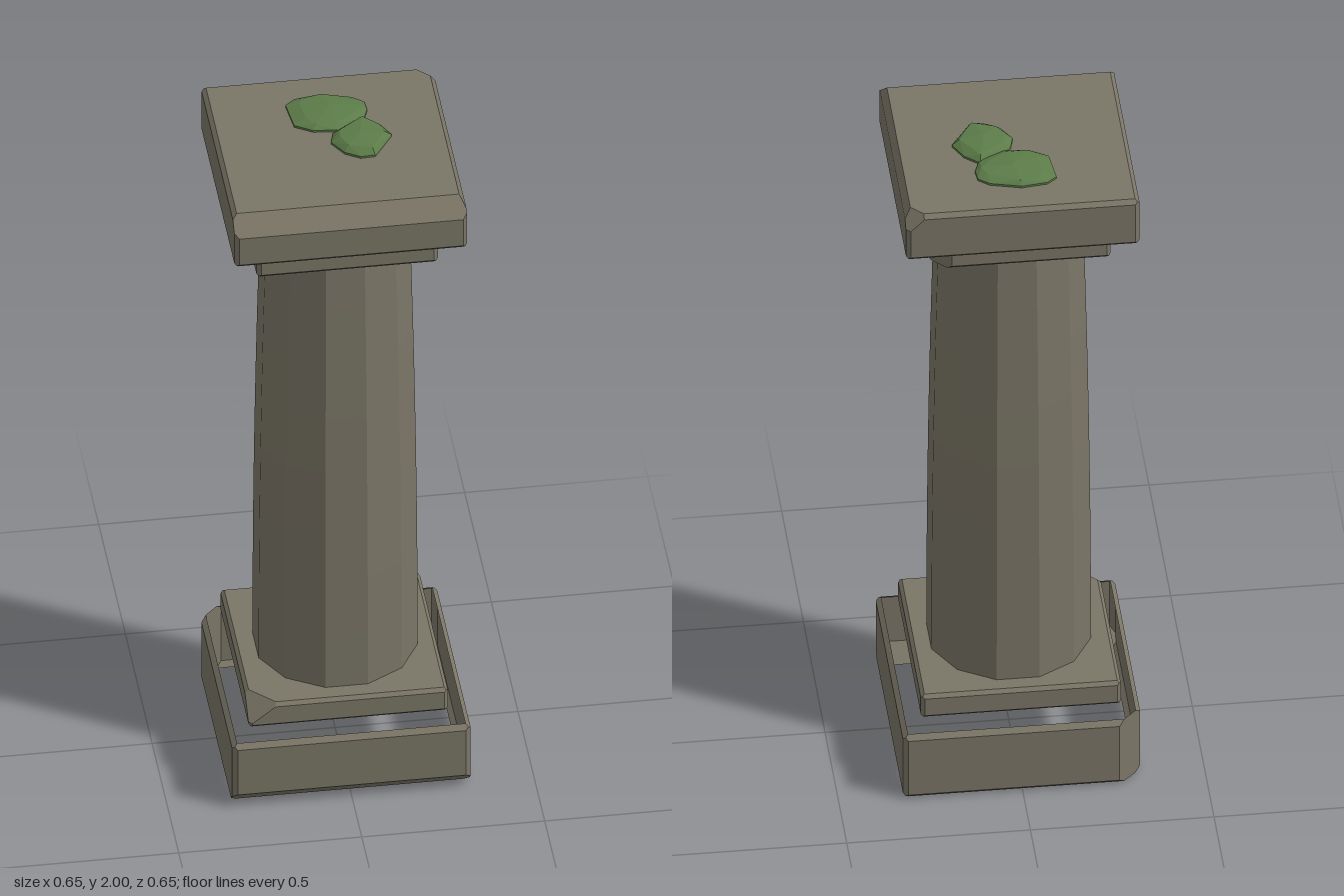
import * as THREE from 'three';
import { ConvexGeometry } from 'three/addons/geometries/ConvexGeometry.js';

const stone = new THREE.MeshStandardMaterial({ color: 0x7a7566, side: THREE.DoubleSide });
stone.name = 'weatheredStone';
const moss = new THREE.MeshStandardMaterial({ color: 0x5c7c49 });
moss.name = 'mossGreen';

// Corner points of the solid bounded by planes { n, d } with n.p <= d
function solidPoints(planes) {
  const pts = [];
  const bc = new THREE.Vector3(), ca = new THREE.Vector3(), ab = new THREE.Vector3();
  for (let i = 0; i < planes.length; i++)
    for (let j = i + 1; j < planes.length; j++)
      for (let k = j + 1; k < planes.length; k++) {
        const [a, b, c] = [planes[i], planes[j], planes[k]];
        bc.crossVectors(b.n, c.n);
        ca.crossVectors(c.n, a.n);
        ab.crossVectors(a.n, b.n);
        const det = a.n.dot(bc);
        if (Math.abs(det) < 1e-4) continue;
        const p = new THREE.Vector3().addScaledVector(bc, a.d).addScaledVector(ca, b.d)
          .addScaledVector(ab, c.d).divideScalar(det);
        if (planes.every((q) => q.n.dot(p) <= q.d + 1e-6) && pts.every((q) => q.distanceTo(p) > 1e-4)) pts.push(p);
      }
  return pts;
}

// Drops the level faces at height y, leaving that end of a block open
function openAt(geometry, y) {
  const src = geometry.attributes.position.array;
  const kept = [];
  for (let i = 0; i < src.length; i += 9) {
    const level = [1, 4, 7].every((o) => Math.abs(src[i + o] - y) < 1e-4);
    if (!level) kept.push(...src.slice(i, i + 9));
  }
  const out = new THREE.BufferGeometry();
  out.setAttribute('position', new THREE.Float32BufferAttribute(kept, 3));
  out.computeVertexNormals();
  return out;
}

// Square block with small edge bevels and larger chips; each chip is [normal, point on it]
function block(name, min, max, bevel, chips, openEnds) {
  const lo = new THREE.Vector3(...min), hi = new THREE.Vector3(...max);
  const planes = [];
  const add = (n, p) => {
    n.normalize();
    planes.push({ n, d: n.dot(p) });
  };
  const signs = [-1, 1];
  for (let axis = 0; axis < 3; axis++)
    for (const s of signs) {
      const n = new THREE.Vector3().setComponent(axis, s);
      add(n, s > 0 ? hi : lo);
      const next = (axis + 1) % 3;
      for (const t of signs) {
        const m = n.clone().setComponent(next, t);
        const p = new THREE.Vector3();
        p.setComponent(axis, (s > 0 ? hi : lo).getComponent(axis) - s * bevel);
        p.setComponent(next, (t > 0 ? hi : lo).getComponent(next));
        add(m, p);
      }
    }
  for (const [n, p] of chips) add(new THREE.Vector3(...n), new THREE.Vector3(...p));
  let geometry = new ConvexGeometry(solidPoints(planes));
  for (const y of openEnds) geometry = openAt(geometry, y);
  const mesh = new THREE.Mesh(geometry, stone);
  mesh.name = name;
  return mesh;
}

// Low faceted moss cushion from an outline of [x, z] points
function mossPatch(name, outline, peak) {
  const cx = outline.reduce((s, p) => s + p[0], 0) / outline.length;
  const cz = outline.reduce((s, p) => s + p[1], 0) / outline.length;
  const pts = [new THREE.Vector3(cx, peak, cz)];
  outline.forEach(([x, z], i) => {
    const k = 0.68 + 0.08 * (i % 3);
    pts.push(new THREE.Vector3(x, 1.966, z));
    pts.push(new THREE.Vector3(x, 1.976, z));
    pts.push(new THREE.Vector3(cx + (x - cx) * k, peak - 0.008, cz + (z - cz) * k));
  });
  const mesh = new THREE.Mesh(new ConvexGeometry(pts), moss);
  mesh.name = name;
  return mesh;
}

// Twelve-sided shaft, slightly swollen in the middle
function shaft() {
  const bottom = 0.3, top = 1.74;
  const geometry = new THREE.CylinderGeometry(1, 1, top - bottom, 12, 8, true, Math.PI / 12)
    .translate(0, (top + bottom) / 2, 0).toNonIndexed();
  const pos = geometry.attributes.position;
  for (let i = 0; i < pos.count; i++) {
    const t = (pos.getY(i) - bottom) / (top - bottom);
    const r = 0.225 - 0.022 * t * t;
    pos.setXYZ(i, pos.getX(i) * r, pos.getY(i), pos.getZ(i) * r);
  }
  geometry.computeVertexNormals();
  const mesh = new THREE.Mesh(geometry, stone);
  mesh.name = 'shaft';
  return mesh;
}

export function createModel() {
  const group = new THREE.Group();
  group.name = 'column';
  group.add(
    // Hollow plinth, chipped along the front foot and one back corner
    block('plinth', [-0.327, 0.004, -0.325], [0.325, 0.214, 0.325], 0.014, [
      [[0, -1, 1], [0, 0.05, 0.325]],
      [[-1, 0, -1], [-0.327, 0.1, -0.262]],
    ], [0.004, 0.214]),
    // Base slab with a broken top corner
    block('baseSlab', [-0.275, 0.23, -0.268], [0.27, 0.306, 0.272], 0.01, [
      [[-0.8, 1, 0.8], [-0.19, 0.306, 0.272]],
    ], [0.23]),
    shaft(),
    // Neck slab with one back corner cut off
    block('neckSlab', [-0.25, 1.728, -0.247], [0.246, 1.808, 0.25], 0.012, [
      [[1, 0, -1], [0.246, 1.77, -0.185]],
    ], []),
    // Cap block with a worn front edge, right edge and back corner
    block('capBlock', [-0.32, 1.82, -0.318], [0.316, 1.97, 0.318], 0.012, [
      [[0, 1, 1], [0, 1.97, 0.268]],
      [[1, 0.55, 0], [0.3, 1.97, 0]],
      [[1, 1, -1], [0.255, 1.97, -0.318]],
    ], [1.82]),
    mossPatch('backMoss', [[-0.108, -0.19], [-0.08, -0.213], [-0.01, -0.222], [0.075, -0.2], [0.105, -0.175],
      [0.108, -0.14], [0.09, -0.09], [0.02, -0.058], [-0.05, -0.065], [-0.098, -0.095]], 1.996),
    mossPatch('frontMoss', [[-0.01, -0.005], [0, -0.045], [0.09, -0.105], [0.13, -0.07], [0.157, -0.017],
      [0.1, 0.068], [0.06, 0.07], [0.02, 0.045]], 2.0),
  );
  return group;
}
